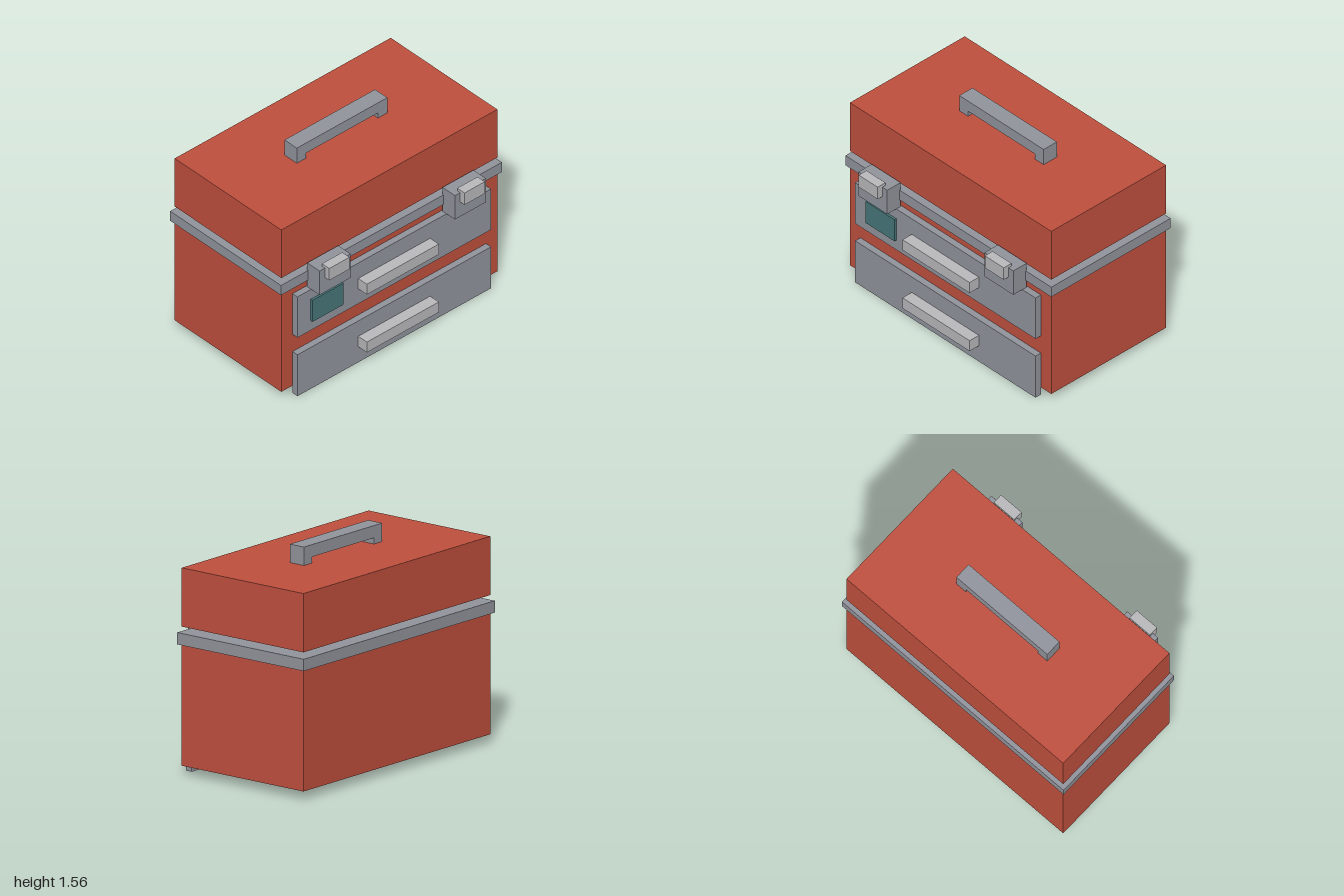
import * as THREE from 'three';

const paint = (color) => new THREE.MeshStandardMaterial({ color });

export function createModel() {
  const model = new THREE.Group();
  model.name = 'toolbox';
  const red = paint(0xc0503e);
  const steel = paint(0x92959d);
  const bright = paint(0xbababd);
  const teal = paint(0x48777a);

  // Box given by its lower and upper limits on each axis
  const box = (name, material, [x0, x1], [y0, y1], [z0, z1]) => {
    const mesh = new THREE.Mesh(new THREE.BoxGeometry(x1 - x0, y1 - y0, z1 - z0), material);
    mesh.position.set((x0 + x1) / 2, (y0 + y1) / 2, (z0 + z1) / 2);
    mesh.name = name;
    model.add(mesh);
  };

  // Case, rim and raised lid
  box('body', red, [-0.978, 0.978], [0.062, 0.905], [-0.607, 0.452]);
  box('rim', steel, [-1, 1], [0.903, 0.985], [-0.628, 0.473]);
  box('lid', red, [-0.978, 0.978], [1.025, 1.432], [-0.607, 0.452]);

  // Carrying handle: an arch cut from one profile
  const arch = new THREE.Shape([
    [-0.41, 1.43], [-0.325, 1.43], [-0.325, 1.475], [0.325, 1.475],
    [0.325, 1.43], [0.41, 1.43], [0.41, 1.56], [-0.41, 1.56],
  ].map(([x, y]) => new THREE.Vector2(x, y)));
  const handle = new THREE.Mesh(
    new THREE.ExtrudeGeometry(arch, { depth: 0.122, bevelEnabled: false }), steel);
  handle.position.z = -0.139;
  handle.name = 'carryHandle';
  model.add(handle);

  // Two drawer fronts with pulls
  for (const [name, y0, y1, pullY] of [['lower', 0, 0.35, 0.132], ['upper', 0.495, 0.84, 0.622]]) {
    box(name + 'Drawer', steel, [-0.876, 0.876], [y0, y1], [0.45, 0.501]);
    box(name + 'Pull', bright, [-0.326, 0.326], [pullY, pullY + 0.088], [0.495, 0.587]);
  }

  // Label plate on the upper drawer
  box('labelPlate', teal, [-0.756, -0.476], [0.576, 0.758], [0.495, 0.518]);

  // Latches with their clips
  for (const [name, x] of [['right', -0.614], ['left', 0.611]]) {
    box(name + 'Latch', steel, [x - 0.14, x + 0.14], [0.842, 1.044], [0.464, 0.587]);
    box(name + 'Clip', bright, [x - 0.092, x + 0.092], [0.965, 1.066], [0.558, 0.63]);
  }
  return model;
}
